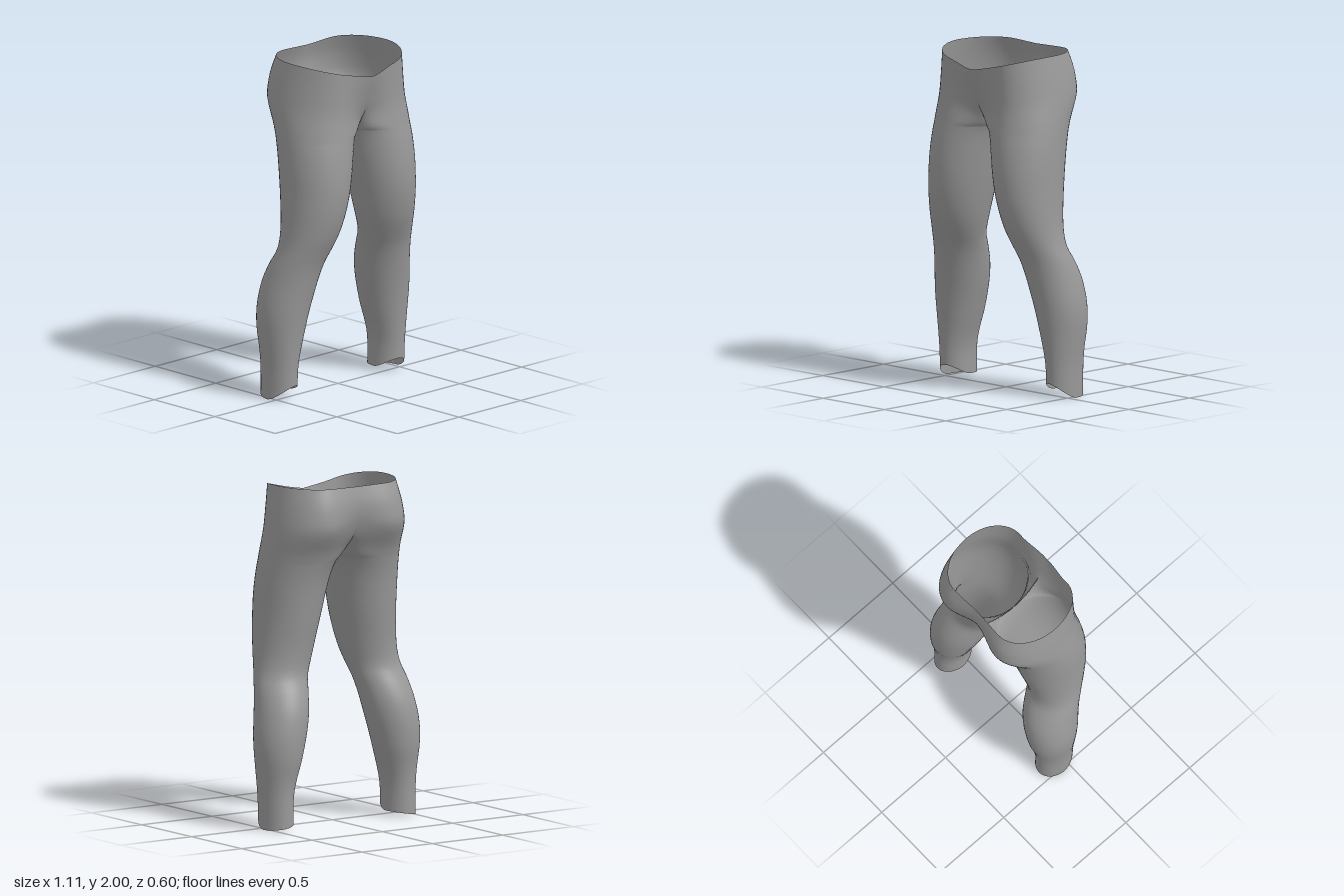
import * as THREE from 'three';
import { mergeVertices } from 'three/addons/utils/BufferGeometryUtils.js';

// Profiles as [height, value]
const outerX = [[0, .525], [.2, .53], [.4, .55], [.5, .555], [.6, .547], [.8, .51], [.9, .485], [1, .47], [1.2, .458], [1.4, .453], [1.6, .44], [1.8, .415], [2, .38]];
const innerX = [[0, .34], [.2, .335], [.4, .285], [.6, .235], [.8, .193], [1, .13], [1.2, .083], [1.4, .043], [1.5, .02], [1.55, 0], [2, 0]];
const frontZ = [[0, .073], [.2, .08], [.4, .1], [.6, .13], [.8, .175], [.9, .215], [1, .255], [1.15, .29], [1.3, .3], [1.45, .291], [1.6, .272], [1.7, .262], [1.8, .262], [1.95, .268], [2, .27]];
const backZ = [[0, -.165], [.2, -.165], [.3, -.175], [.4, -.193], [.5, -.2], [.6, -.197], [.7, -.18], [.8, -.14], [.88, -.1], [1, -.1], [1.2, -.13], [1.45, -.172], [1.6, -.22], [1.75, -.297], [1.85, -.298], [1.92, -.283], [2, -.253]];
// Centre seam running from the front waist under the crotch to the back waist
const CROTCH = 1.55;
const seamFrontZ = [[1.55, .035], [1.57, .1], [1.62, .17], [1.7, .228], [1.8, .262], [1.91, .29], [2, .3]];
const seamBackZ = [[1.55, .035], [1.57, -.03], [1.62, -.12], [1.7, -.21], [1.8, -.255], [1.9, -.265], [2, -.245]];

// Smooth interpolation through a profile
function at(profile, y) {
  const n = profile.length;
  let k = 0;
  while (k < n - 2 && y > profile[k + 1][0]) k++;
  const slope = (i) => {
    const a = profile[Math.max(i - 1, 0)], b = profile[Math.min(i + 1, n - 1)];
    return (b[1] - a[1]) / (b[0] - a[0]);
  };
  const [y0, v0] = profile[k], [y1, v1] = profile[k + 1];
  const h = y1 - y0, s = THREE.MathUtils.clamp((y - y0) / h, 0, 1);
  const s2 = s * s, s3 = s2 * s;
  return v0 * (2 * s3 - 3 * s2 + 1) + v1 * (3 * s2 - 2 * s3)
    + h * (slope(k) * (s3 - 2 * s2 + s) + slope(k + 1) * (s3 - s2));
}

// Point on the left half; t runs inner seam -> front -> outside -> back -> inner seam
function surfacePoint(t, row) {
  const c = Math.cos(t), s = Math.sin(t), front = t < Math.PI;
  let y = row;
  if (row > 1.7) { // waist dips at the front
    const reach = (1 - c) / 2;
    const top = front ? 1.91 + .09 * Math.pow(reach, 1.2) : 1.993 + .007 * reach;
    y = 1.7 + (row - 1.7) * (top - 1.7) / .3;
  } else if (row < .2) { // hem arches over the foot
    const hem = .03 - .0145 * (1 - c) + .068 * Math.pow(Math.max(0, s), 1.5);
    y = hem + row / .2 * (.2 - hem);
  }
  const xi = at(innerX, y), xo = at(outerX, y);
  const zEdge = at(front ? frontZ : backZ, y);
  const zMid = (at(frontZ, y) + at(backZ, y)) / 2;
  const x = (xi + xo) / 2 - c * (xo - xi) / 2;
  let zStart = zMid, ease = Math.abs(s);
  if (c > 0 && row >= CROTCH) { // inner side opens onto the centre seam
    zStart = at(front ? seamFrontZ : seamBackZ, y);
    const w = THREE.MathUtils.smoothstep(y, CROTCH, 1.76);
    ease += (THREE.MathUtils.smoothstep(1 - c, 0, 1) - ease) * w;
  }
  return [x, y, zStart + (zEdge - zStart) * ease].map((v) => Math.round(v * 1e5) / 1e5);
}

function leggingsGeometry() {
  const COLS = 48, rows = [];
  for (let j = 0; j < 40; j++) rows.push(CROTCH * j / 40);
  for (let j = 0; j <= 20; j++) rows.push(CROTCH + (2 - CROTCH) * Math.pow(j / 20, 1.4));
  const positions = [], indices = [];
  for (const side of [1, -1]) {
    const base = positions.length / 3;
    for (const row of rows) {
      for (let i = 0; i <= COLS; i++) {
        const [x, y, z] = surfacePoint(2 * Math.PI * i / COLS, row);
        positions.push(side * x, y, z);
      }
    }
    for (let j = 0; j < rows.length - 1; j++) {
      for (let i = 0; i < COLS; i++) {
        const a = base + j * (COLS + 1) + i, b = a + 1, d = a + COLS + 1, e = d + 1;
        if (side > 0) indices.push(a, b, e, a, e, d);
        else indices.push(a, e, b, a, d, e);
      }
    }
  }
  const geometry = new THREE.BufferGeometry();
  geometry.setAttribute('position', new THREE.Float32BufferAttribute(positions, 3));
  geometry.setIndex(indices);
  const welded = mergeVertices(geometry, 1e-4);
  welded.computeVertexNormals();
  return welded;
}

export function createModel() {
  const fabric = new THREE.MeshStandardMaterial({ color: 0x999999, side: THREE.DoubleSide });
  fabric.name = 'grey fabric';
  const leggings = new THREE.Mesh(leggingsGeometry(), fabric);
  leggings.name = 'leggings';
  const group = new THREE.Group();
  group.name = 'leggingsModel';
  group.add(leggings);
  return group;
}
